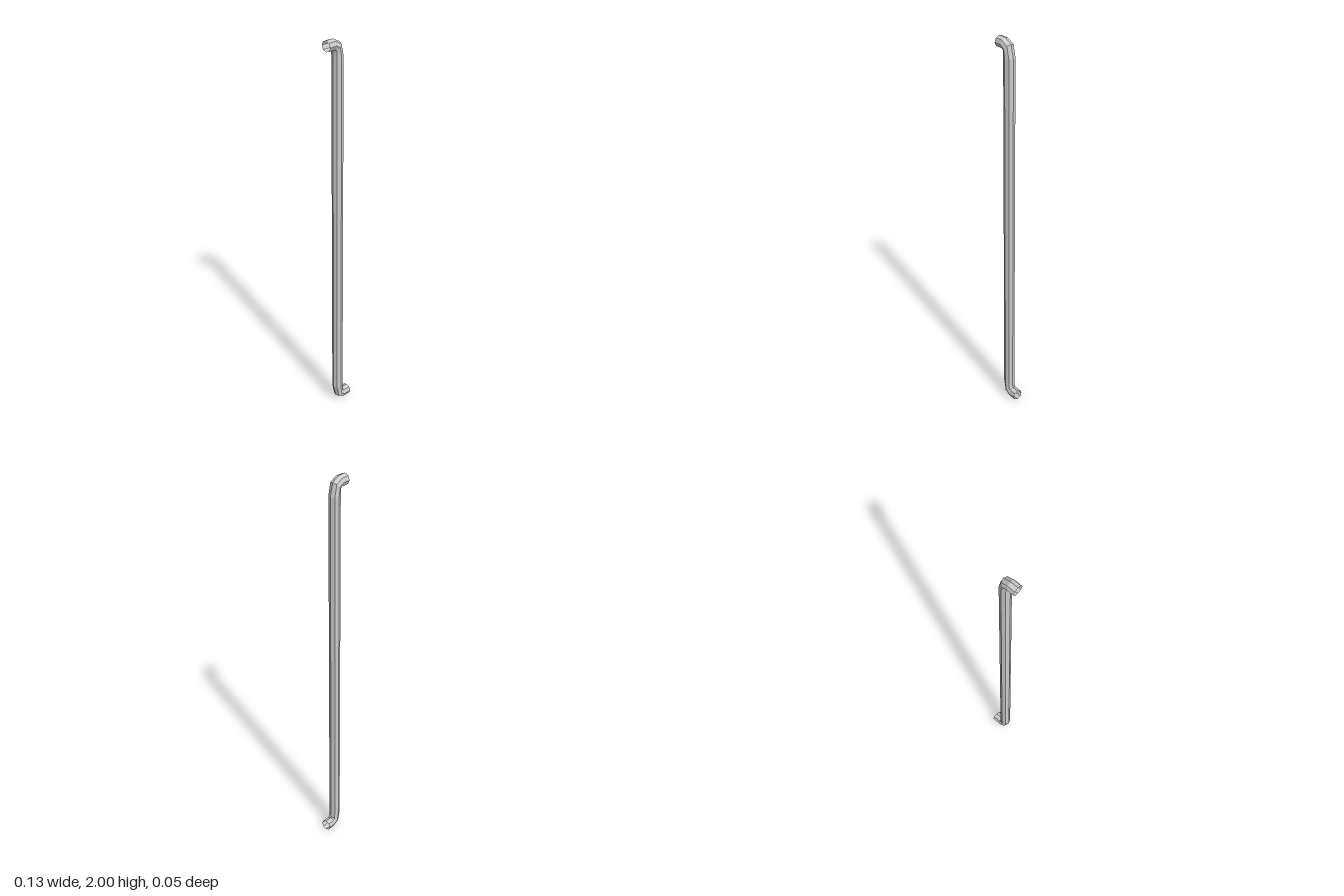
import * as THREE from 'three';

const SIDES = 8;
const RADIUS = 0.027;

// Skin an open octagonal tube over rings given as [x, y, tilt];
// tilt is the direction of the ring's in-plane axis in the xy plane.
function ringTube(rings) {
  const pos = [], index = [];
  for (const [x, y, tilt] of rings) {
    for (let i = 0; i < SIDES; i++) {
      const a = (i / SIDES) * Math.PI * 2;
      const r = Math.cos(a) * RADIUS;
      pos.push(x + r * Math.cos(tilt), y + r * Math.sin(tilt), Math.sin(a) * RADIUS);
    }
  }
  for (let k = 0; k < rings.length - 1; k++) {
    for (let i = 0; i < SIDES; i++) {
      const j = (i + 1) % SIDES;
      const a = k * SIDES + i, b = k * SIDES + j;
      const c = a + SIDES, d = b + SIDES;
      index.push(a, b, c, b, d, c);
    }
  }
  const g = new THREE.BufferGeometry();
  g.setAttribute('position', new THREE.Float32BufferAttribute(pos, 3));
  g.setIndex(index);
  g.computeVertexNormals();
  return g;
}

export function createModel() {
  const group = new THREE.Group();
  group.name = 'bentPipe';

  // upper elbow: stub end, bend start, bend middle, start of the straight run
  const upper = [
    [-0.067, 1.973, Math.PI / 2],
    [-0.028, 1.973, Math.PI / 2],
    [-0.007, 1.96, Math.PI / 4],
    [0, 1.915, 0],
  ];
  // lower elbow is the upper one turned half way round about the middle
  const lower = upper.map(([x, y, t]) => [-x, 2 - y, t]).reverse();

  const material = new THREE.MeshStandardMaterial({
    color: 0xcccccc, flatShading: true, side: THREE.DoubleSide,
  });
  const pipe = new THREE.Mesh(ringTube([...upper, ...lower]), material);
  pipe.name = 'pipe';
  group.add(pipe);
  return group;
}
